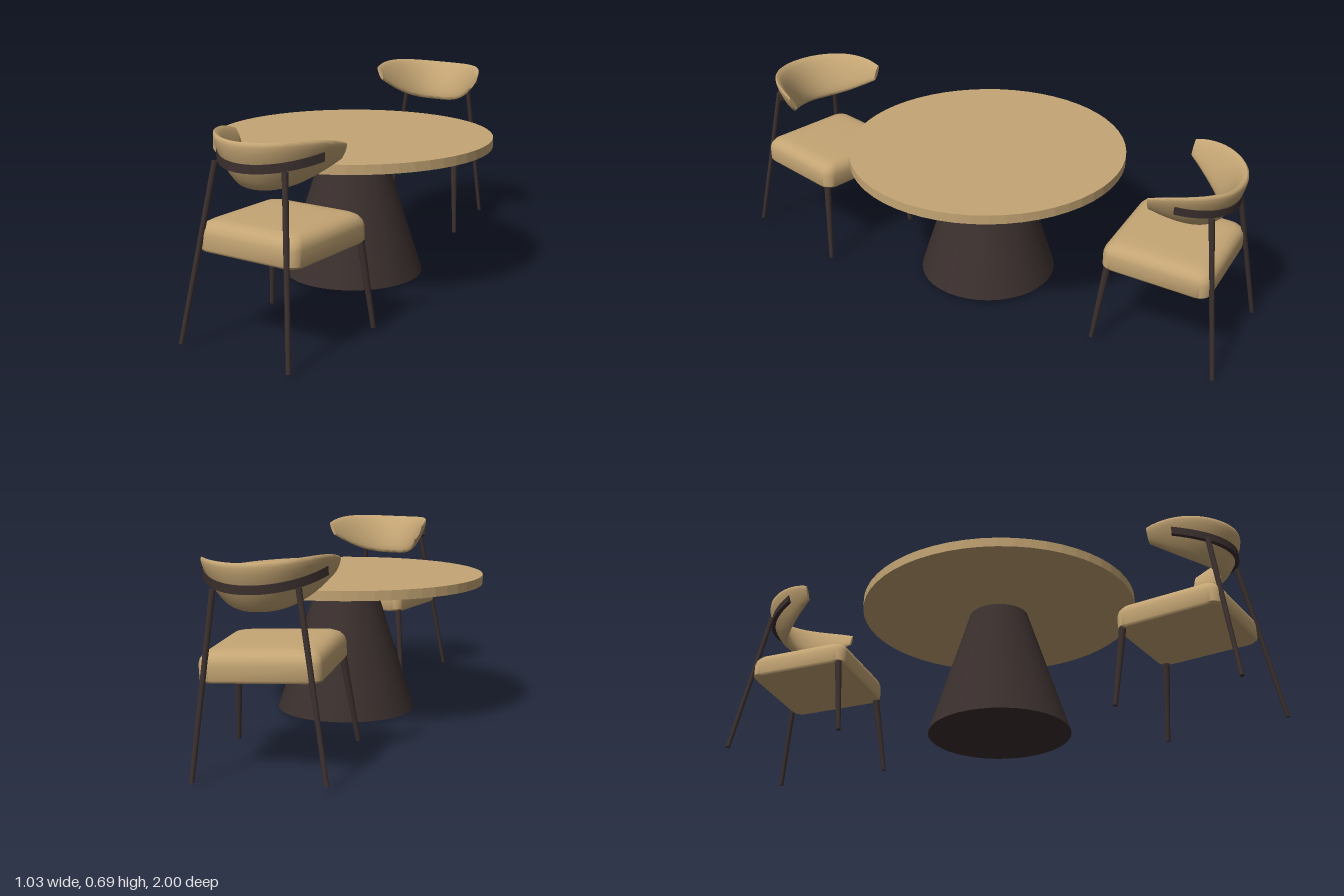
import * as THREE from 'three';
import { toCreasedNormals } from 'three/addons/utils/BufferGeometryUtils.js';

const tan = new THREE.MeshStandardMaterial({ color: 0xc4a574 });
const tanFlat = new THREE.MeshStandardMaterial({ color: 0xc4a574, flatShading: true });
const dark = new THREE.MeshStandardMaterial({ color: 0x3b302e });

function addMesh(parent, name, geometry, material) {
  const mesh = new THREE.Mesh(geometry, material);
  mesh.name = name;
  parent.add(mesh);
  return mesh;
}

// Skin a list of closed cross-sections and cap both ends
function loft(sections, crease = 0.7) {
  const centre = (ring) => {
    const c = ring.reduce((sum, p) => sum.add(p), new THREE.Vector3()).divideScalar(ring.length);
    return ring.map(() => c);
  };
  const rings = [centre(sections[0]), ...sections, centre(sections[sections.length - 1])];
  const n = rings[0].length;
  const index = [];
  for (let i = 0; i < rings.length - 1; i++) {
    for (let j = 0; j < n; j++) {
      const a = i * n + j, b = i * n + (j + 1) % n;
      const c = a + n, d = b + n;
      if (i > 0) index.push(a, c, b);
      if (i < rings.length - 2) index.push(b, c, d);
    }
  }
  const geometry = new THREE.BufferGeometry().setFromPoints(rings.flat());
  geometry.setIndex(index);
  return toCreasedNormals(geometry, crease);
}

// Tapered round rod from point a (radius ra) to point b (radius rb)
function rod(parent, name, a, b, ra, rb) {
  const from = new THREE.Vector3(...a), to = new THREE.Vector3(...b);
  const dir = to.clone().sub(from);
  const mesh = addMesh(parent, name, new THREE.CylinderGeometry(rb, ra, dir.length(), 12), dark);
  mesh.position.copy(from).add(to).multiplyScalar(0.5);
  mesh.quaternion.setFromUnitVectors(new THREE.Vector3(0, 1, 0), dir.normalize());
}

// Rounded square outline at height y
function roundedSquare(half, r, y) {
  const points = [];
  for (let corner = 0; corner < 4; corner++) {
    const mid = (corner + 0.5) * Math.PI / 2;
    const cx = Math.sign(Math.cos(mid)) * (half - r), cz = Math.sign(Math.sin(mid)) * (half - r);
    for (let k = 0; k <= 6; k++) {
      const a = (corner + k / 6) * Math.PI / 2;
      points.push(new THREE.Vector3(cx + r * Math.cos(a), y, cz + r * Math.sin(a)));
    }
  }
  return points;
}

// Seat cushion: flat underside, softly rounded top
function seatGeometry() {
  const profile = [[0, 0.006], [0.008, 0], [0.055, 0], [0.072, 0.004], [0.086, 0.014],
    [0.095, 0.03], [0.099, 0.055], [0.1, 0.09]];
  return loft(profile.map(([y, inset]) => roundedSquare(0.196 - inset, 0.04, 0.295 + y)));
}

// Backrest measures at sweep angle phi
const PHI_MAX = 1.5;
function backSection(phi) {
  const s = Math.abs(phi) / PHI_MAX;
  const top = 0.665 + 0.03 * s ** 2 - 0.05 * s ** 4;
  const bottom = 0.505 + 0.085 * s ** 2.5;
  return { mid: (top + bottom) / 2, half: (top - bottom) / 2, thick: 0.023 - 0.015 * s ** 2 };
}

// Point on the elliptical sweep, pushed outward by "out"
function sweepPoint(phi, out, y) {
  return new THREE.Vector3((0.22 + out) * Math.sin(phi), y, 0.055 - (0.265 + out) * Math.cos(phi));
}
const lean = (half, v) => -0.035 * (1 - v) * (half / 0.08);

function backrestGeometry() {
  const sections = [];
  for (let i = 0; i <= 40; i++) {
    const phi = (i / 20 - 1) * PHI_MAX;
    const { mid, half, thick } = backSection(phi);
    const ring = [];
    for (let j = 0; j < 20; j++) {
      const a = j / 20 * Math.PI * 2;
      const v = -Math.sin(a);
      ring.push(sweepPoint(phi, lean(half, v) + thick * Math.cos(a), mid + half * v));
    }
    sections.push(ring);
  }
  return loft(sections, 0.9);
}

// Curved rail hugging the rear of the backrest
function railGeometry() {
  const sections = [];
  for (let i = 0; i <= 28; i++) {
    const t = i / 14 - 1, phi = t * 1.16;
    const { mid, half, thick } = backSection(phi);
    const y = 0.583 + 0.032 * t * t;
    const v = (y - mid) / half;
    const outer = lean(half, v) + thick * Math.sqrt(1 - Math.min(1, v * v)) + 0.009;
    sections.push([[0, 1], [0, -1], [-0.022, -1], [-0.022, 1]]
      .map(([o, side]) => sweepPoint(phi, outer + o, y + side * 0.014)));
  }
  return loft(sections);
}

// Chair facing +z with its feet on y = 0
function createChair(name) {
  const chair = new THREE.Group();
  chair.name = name;
  addMesh(chair, 'seat', seatGeometry(), tan);
  addMesh(chair, 'backrest', backrestGeometry(), tan);
  addMesh(chair, 'backRail', railGeometry(), dark);
  for (const [side, x] of [['Left', 1], ['Right', -1]]) {
    rod(chair, 'front' + side + 'Leg', [x * 0.21, 0, 0.2], [x * 0.178, 0.31, 0.17], 0.008, 0.013);
    rod(chair, 'back' + side + 'Leg', [x * 0.212, 0, -0.255], [x * 0.135, 0.58, -0.157], 0.008, 0.01);
  }
  return chair;
}

export function createModel() {
  const model = new THREE.Group();
  model.name = 'diningSet';

  // Round table on a conical pedestal
  const table = new THREE.Group();
  table.name = 'table';
  table.position.z = 0.06;
  addMesh(table, 'tableTop', new THREE.CylinderGeometry(0.515, 0.515, 0.034, 56), tanFlat).position.y = 0.512;
  addMesh(table, 'pedestal', new THREE.CylinderGeometry(0.11, 0.26, 0.477, 40), dark).position.y = 0.2475;
  model.add(table);

  // Front chair, facing the table
  const frontChair = createChair('frontChair');
  frontChair.position.set(0.197, 0.01, 0.737);
  frontChair.rotation.y = Math.PI;

  // Rear chair, turned and slightly tipped
  const rearChair = createChair('rearChair');
  rearChair.position.set(-0.159, 0.019, -0.688);
  rearChair.rotation.set(-0.036, 0.262, -0.045, 'YXZ');

  model.add(frontChair, rearChair);
  return model;
}
